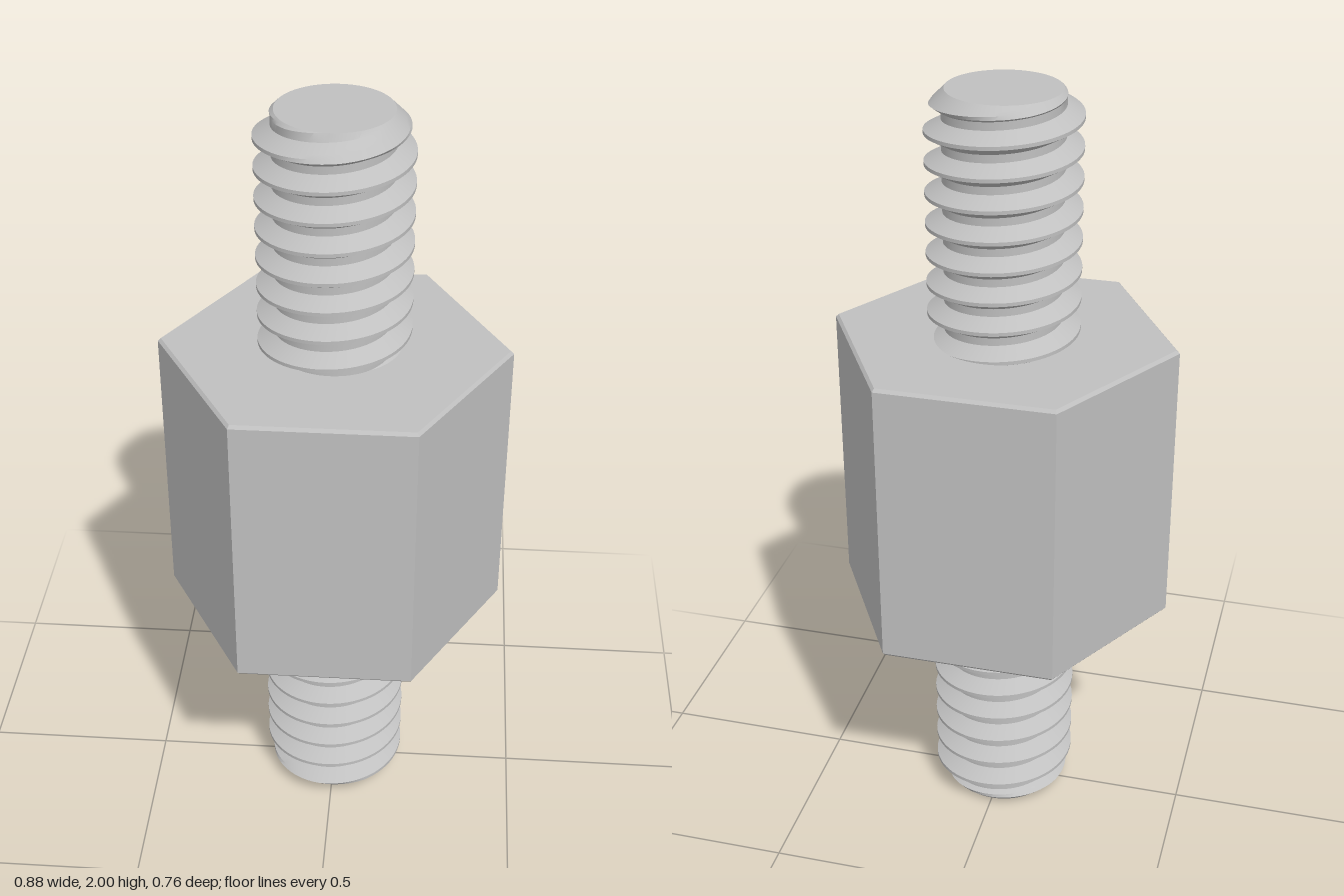
import * as THREE from 'three';
import { toCreasedNormals } from 'three/addons/utils/BufferGeometryUtils.js';

const PITCH = 0.0762, CREST = 0.19, ROOT = 0.148, END = 0.14;
const START = 1.896; // height of a thread crest at +x
const HEX_BOTTOM = 0.62, HEX_TOP = 1.38;

// Radius of the thread at a height and a turn angle, with chamfered free ends
function threadRadius(y, theta) {
  const f = (y - START) / PITCH - theta / (2 * Math.PI);
  const d = Math.abs(f - Math.round(f));
  const r = CREST - (CREST - ROOT) * THREE.MathUtils.clamp((d - 0.06) / 0.31, 0, 1);
  return Math.min(r, END + Math.min(y, 2 - y));
}

// Right-handed thread: rows follow the helix and are cut flat at both ends
function threadGeometry(y0, y1) {
  const seg = 72, steps = [0.06, 0.16, 0.27, 0.37, 0.63, 0.73, 0.84, 0.94];
  const rows = [];
  const first = Math.floor((y0 - START) / PITCH) - 2;
  const last = Math.ceil((y1 - START) / PITCH) + 1;
  for (let n = first; n <= last; n++) for (const s of steps) rows.push(START + (n + s) * PITCH);

  const pos = [], index = [];
  for (const row of rows) {
    for (let i = 0; i <= seg; i++) {
      const t = (i / seg) * 2 * Math.PI;
      const y = THREE.MathUtils.clamp(row + (PITCH * i) / seg, y0, y1);
      const r = threadRadius(y, t);
      pos.push(r * Math.cos(t), y, -r * Math.sin(t));
    }
  }
  const height = (k) => pos[k * 3 + 1];
  for (let j = 0; j < rows.length - 1; j++) {
    for (let i = 0; i < seg; i++) {
      const a = j * (seg + 1) + i, b = a + 1, d = a + seg + 1, c = d + 1;
      if (height(a) !== height(d)) index.push(a, c, d);
      if (height(b) !== height(c)) index.push(a, b, c);
    }
  }
  const geo = new THREE.BufferGeometry();
  geo.setAttribute('position', new THREE.Float32BufferAttribute(pos, 3));
  geo.setIndex(index);
  return toCreasedNormals(geo, 0.5);
}

export function createModel() {
  const model = new THREE.Group();
  model.name = 'hexStandoff';
  const steel = new THREE.MeshStandardMaterial({ color: 0xc0c0c0 });
  steel.name = 'steel grey';

  const add = (name, geometry) => {
    const mesh = new THREE.Mesh(geometry, steel);
    mesh.name = name;
    model.add(mesh);
    return mesh;
  };

  // Hexagonal body with slightly bevelled rims, corners on the x axis
  const profile = [
    [0, HEX_BOTTOM], [0.433, HEX_BOTTOM], [0.441, HEX_BOTTOM + 0.008],
    [0.441, HEX_TOP - 0.008], [0.433, HEX_TOP], [0, HEX_TOP],
  ].map(([r, y]) => new THREE.Vector2(r, y));
  const hex = new THREE.LatheGeometry(profile, 6, Math.PI / 6);
  add('hexBody', toCreasedNormals(hex, 0.2));

  // Threaded studs
  add('upperStud', threadGeometry(HEX_TOP, 2));
  add('lowerStud', threadGeometry(0, HEX_BOTTOM));

  // Flat stud ends
  const cap = new THREE.CircleGeometry(END, 72);
  const top = add('upperStudEnd', cap);
  top.rotation.x = -Math.PI / 2;
  top.position.y = 2;
  add('lowerStudEnd', cap).rotation.x = Math.PI / 2;

  return model;
}
